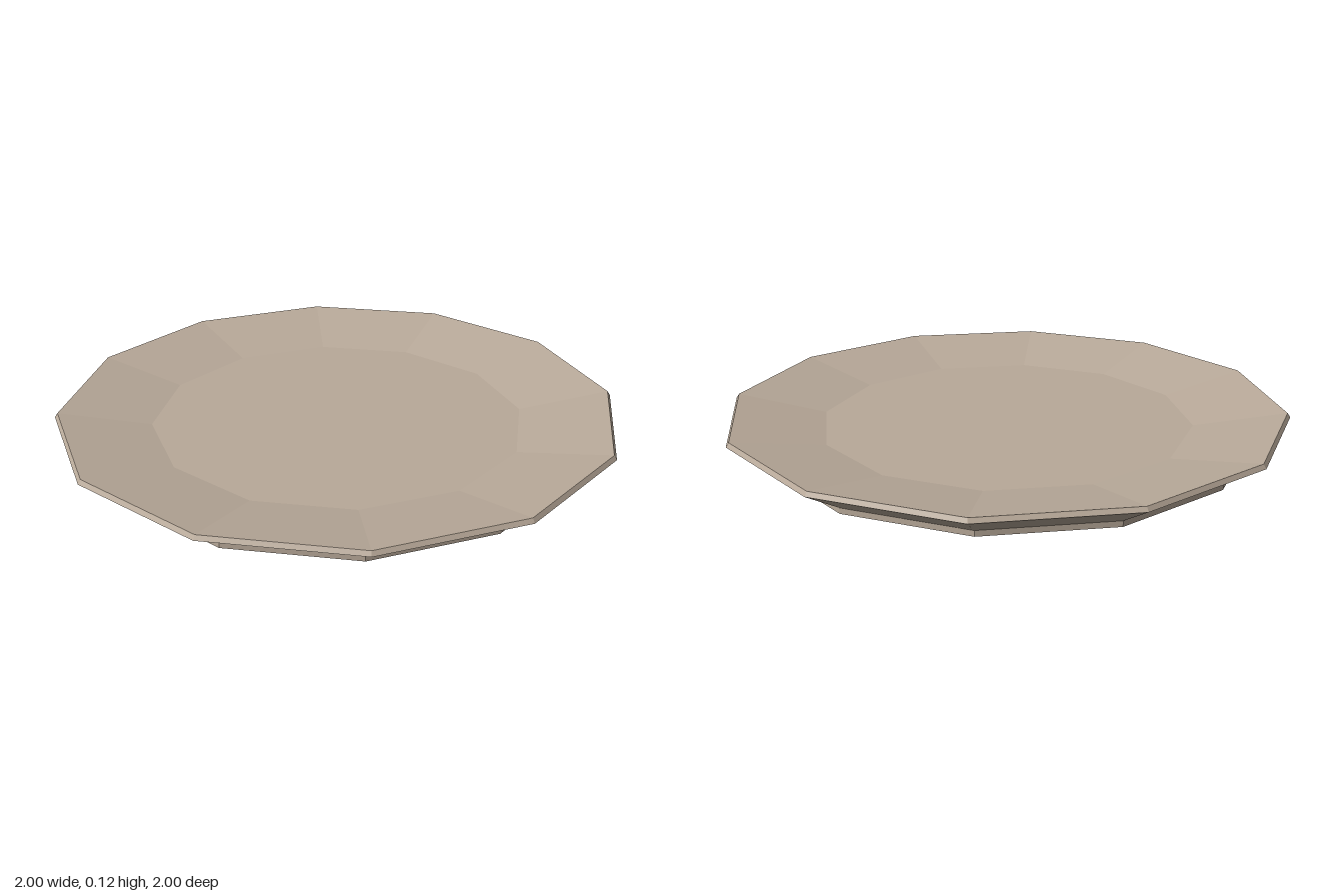
import * as THREE from 'three';

const SIDES = 12;

export function createModel() {
  const group = new THREE.Group();
  group.name = 'plate';

  const material = new THREE.MeshStandardMaterial({ color: 0xb8a999, flatShading: true });

  // Closed section, from the underside centre around the rim to the floor centre
  const profile = [
    [0, 0.035],      // recessed underside
    [0.81, 0.035],
    [0.815, 0],      // foot ring
    [0.86, 0],
    [0.86, 0.02],
    [1, 0.105],      // flared outer wall
    [0.99, 0.12],    // rim
    [0.665, 0.062],  // sloped inner wall
    [0, 0.062],      // eating surface
  ].map(([r, y]) => new THREE.Vector2(r, y));

  const dish = new THREE.Mesh(new THREE.LatheGeometry(profile, SIDES), material);
  dish.name = 'dish';
  group.add(dish);

  return group;
}
